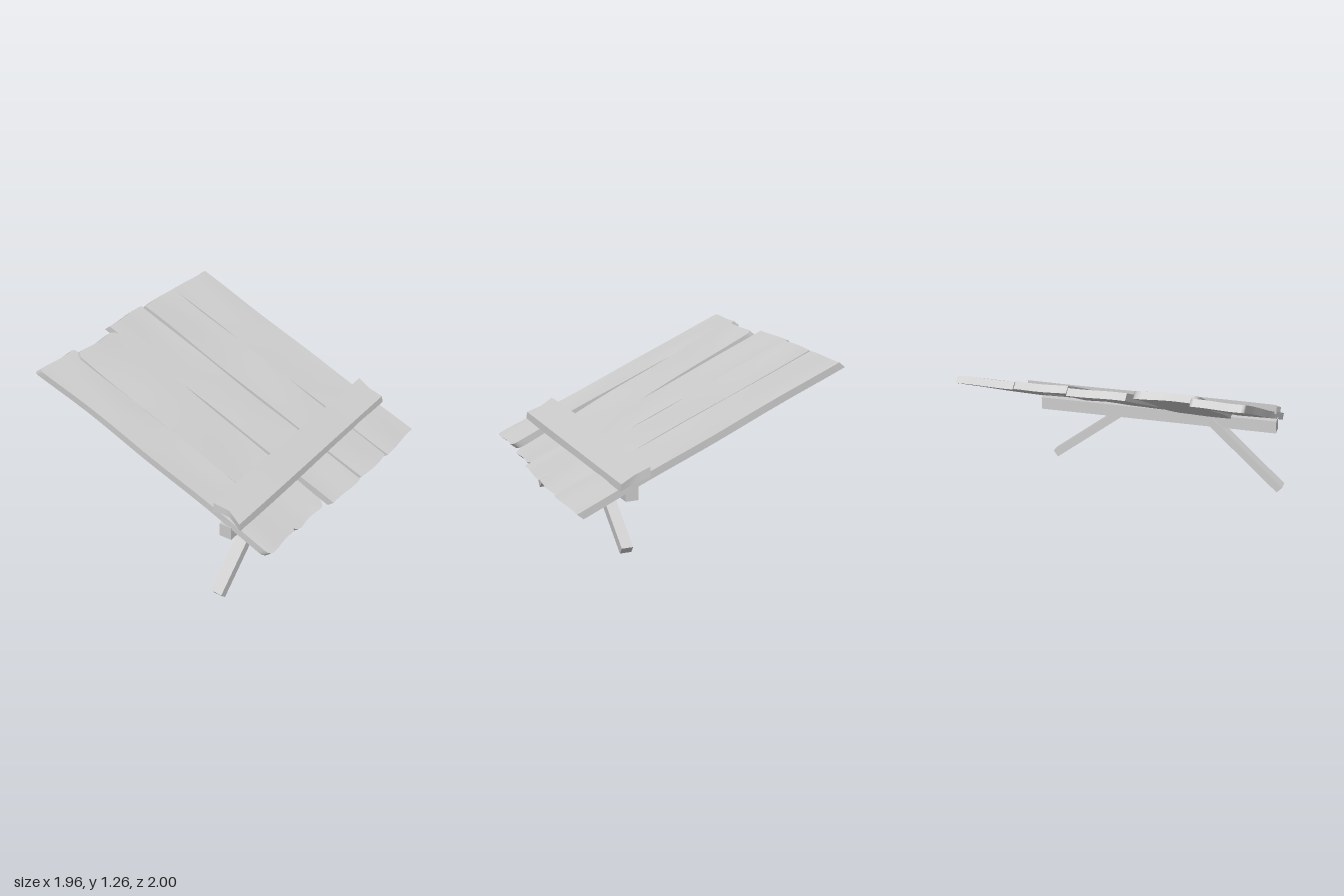
import * as THREE from 'three';

const material = new THREE.MeshStandardMaterial({ color: 0xcccccc, side: THREE.DoubleSide });

// Moves every vertex of a segmented unit box by a rule taking (-1..1) coordinates.
function shapedBox(name, segments, rule) {
  const geo = new THREE.BoxGeometry(2, 2, 2, ...segments);
  const pos = geo.attributes.position;
  for (let i = 0; i < pos.count; i++) {
    pos.setXYZ(i, ...rule(pos.getX(i), pos.getY(i), pos.getZ(i)));
  }
  geo.computeVertexNormals();
  const mesh = new THREE.Mesh(geo, material);
  mesh.name = name;
  return mesh;
}

// Value of a curve through three evenly spaced points, t from 0 to 1.
const bend = ([a, b, c], t) => a * (1 - t) * (1 - 2 * t) + 4 * b * t * (1 - t) + c * t * (2 * t - 1);

// Top surface runs from high = [x, y] to low = [x, y]; back and front are the
// z of the long edges at the high end, the middle and the low end.
const PLANKS = [
  { high: [-0.905, 1.255], low: [0.97, 0.45], back: [-0.955, -0.955, -0.96], front: [-0.565, -0.557, -0.56], seed: 0 },
  { high: [-0.91, 1.26], low: [0.962, 0.45], back: [-0.555, -0.554, -0.55], front: [-0.2, -0.198, -0.2], seed: 1.7 },
  { high: [-0.93, 1.26], low: [0.95, 0.445], back: [-0.195, -0.185, -0.19], front: [0.197, 0.18, 0.17], seed: 3.1 },
  { high: [-0.855, 1.26], low: [0.895, 0.435], back: [0.215, 0.19, 0.2], front: [0.635, 0.61, 0.57], seed: 4.4, roundHigh: 0.05, roundLow: 0.06 },
  { high: [-0.915, 1.262], low: [0.912, 0.475], back: [0.6, 0.62, 0.6], front: [0.945, 0.92, 0.925], seed: 5.9, roundHigh: 0.02, roundLow: 0.04 },
];

function plank({ high, low, back, front, seed, roundHigh = 0, roundLow = 0 }) {
  const length = low[0] - high[0];
  // How far a rounded corner of radius r pulls the edge in at distance d from the end
  const inset = (r, d) => (d < r ? r - Math.sqrt(r * r - (r - d) ** 2) : 0);
  return shapedBox('plank', [28, 1, 8], (u, v, w) => {
    const t = (Math.sin(u * Math.PI / 2) + 1) / 2;
    const pull = inset(roundHigh, t * length) + inset(roundLow, (1 - t) * length);
    // Uneven long edges
    const wobble = 0.004 * Math.sin(t * 13 + seed + w * 2);
    const zBack = bend(back, t) + pull;
    const zFront = bend(front, t) - pull;
    const z = zBack + (zFront - zBack) * (w + 1) / 2 + wobble;
    // Uneven ends, slanted cut, slight warp of the faces
    const endWave = 0.008 * Math.sin(w * 2.3 + seed) * (2 * t - 1);
    const under = (1 - v) / 2;
    const x = high[0] + length * t + endWave - 0.045 * under;
    const warp = 0.005 * Math.sin(t * 9 + seed * 2) * Math.cos(w * 1.4 + seed);
    const y = high[1] + (low[1] - high[1]) * t + warp - 0.036 * under;
    return [x, y, z];
  });
}

// Square bar between two points, with the given width in x and depth
function bar(name, from, to, width, depth) {
  const a = new THREE.Vector3(...from);
  const b = new THREE.Vector3(...to);
  const mesh = new THREE.Mesh(new THREE.BoxGeometry(width, depth, a.distanceTo(b)), material);
  mesh.position.copy(a).add(b).multiplyScalar(0.5);
  mesh.lookAt(b);
  mesh.name = name;
  return mesh;
}

export function createModel() {
  const model = new THREE.Group();
  model.name = 'slopedPlankPanel';

  // Tilted panel of rough planks
  const panel = new THREE.Group();
  panel.name = 'plankPanel';
  PLANKS.forEach((p) => panel.add(plank(p)));
  model.add(panel);

  // Batten lying across the planks, with worn, notched ends
  model.add(shapedBox('topBatten', [4, 1, 10], (u, v, w) => {
    const s = (u + 1) / 2;
    const notch = 1 - Math.abs(u);
    const z = w > 0 ? w * (0.93 - 0.035 * notch) : w * (1 - 0.018 * notch);
    const wave = 0.004 * Math.sin(w * 3);
    const x = 0.48 + (v > 0 ? 0.2 : 0.208) * s + wave * s;
    const y = v > 0 ? 0.715 - 0.092 * s + wave : 0.645 - 0.07 * s;
    return [x, y, z];
  }));

  // Support beam under the planks
  model.add(bar('underBeam', [0.57, 0.518, -0.91], [0.57, 0.518, 0.925], 0.09, 0.095));

  // Splayed legs
  model.add(bar('frontLeg', [0.555, 0.51, 0.435], [0.543, 0.022, 0.978], 0.087, 0.06));
  model.add(bar('backLeg', [0.568, 0.52, -0.25], [0.57, 0.098, -0.808], 0.08, 0.058));

  return model;
}
